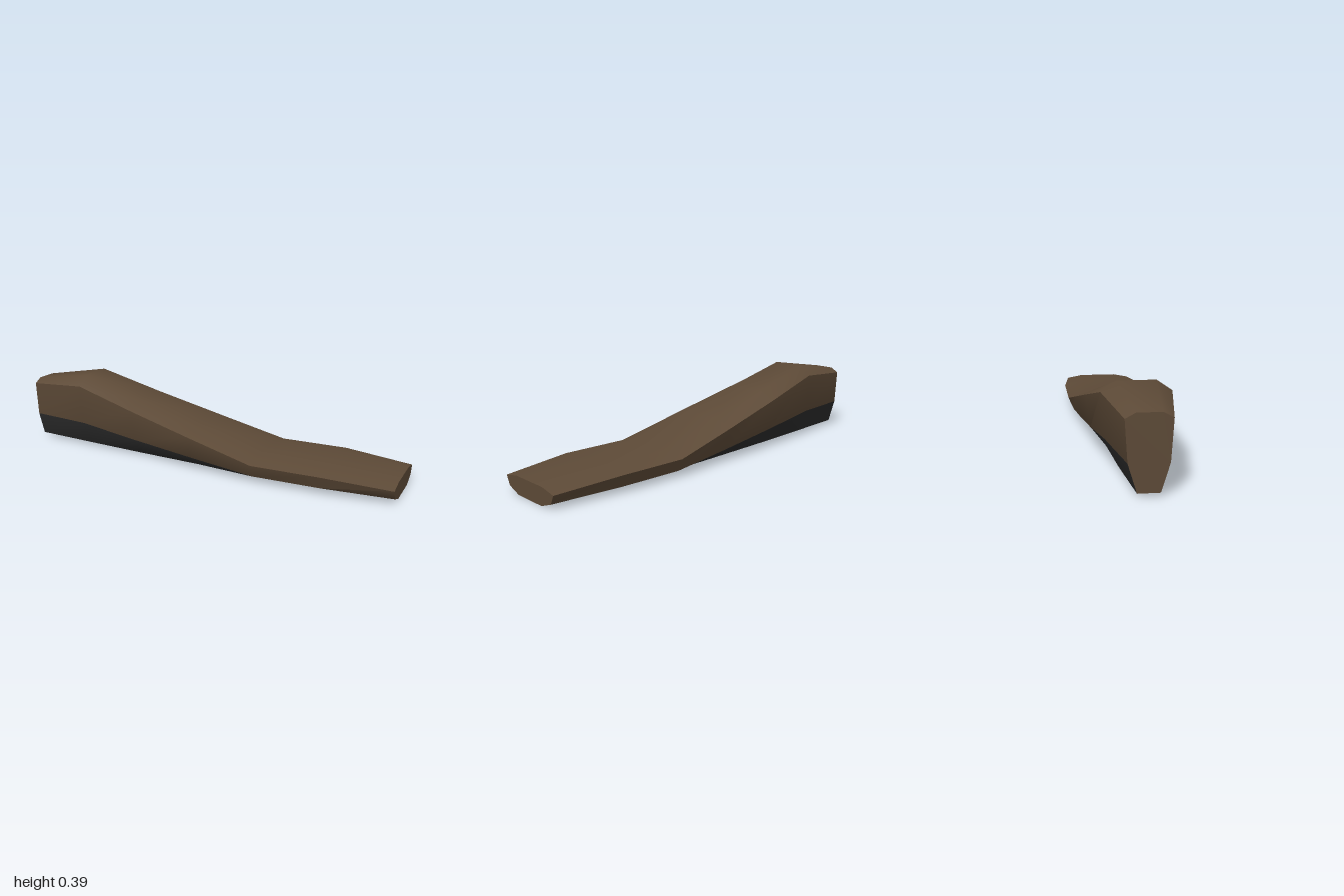
import * as THREE from 'three';
import { toCreasedNormals } from 'three/addons/utils/BufferGeometryUtils.js';

// Stations along the body: x, half width, and heights of bottom, belt line, shoulder, top
const STATIONS = [
  [-1.0, 0.095, 0.016, 0.137, 0.312, 0.335],
  [-0.667, 0.152, 0.015, 0.14, 0.343, 0.39],
  [-0.333, 0.186, 0.01, 0.103, 0.259, 0.298],
  [0, 0.208, 0.005, 0.066, 0.175, 0.207],
  [0.333, 0.225, 0, 0.03, 0.092, 0.115],
  [0.667, 0.225, 0, 0.03, 0.092, 0.115],
  [1.0, 0.188, 0, 0.026, 0.07, 0.086],
];

// Eight-sided cross-section, from the +z belt line over the top and round underneath
function section([x, w, bottom, belt, shoulder, top]) {
  const half = [[belt, 0.88], [shoulder, 1], [top, 0.55]];
  const ring = [
    ...half.map(([y, s]) => [x, y, w * s]),
    ...half.slice().reverse().map(([y, s]) => [x, y, -w * s]),
  ];
  ring.push([x, bottom, -w * 0.49], [x, bottom, w * 0.49]);
  return ring;
}

export function createModel() {
  const wood = new THREE.MeshStandardMaterial({ name: 'brown', color: 0x5d4a37 });
  const dark = new THREE.MeshStandardMaterial({ name: 'charcoal', color: 0x2b2b2b });

  const rings = STATIONS.map(section);
  const positions = [];
  const tri = (...pts) => pts.forEach((p) => positions.push(...p));
  const skin = (strips) => {
    for (let i = 0; i < rings.length - 1; i++) {
      for (const k of strips) {
        const n = (k + 1) % 8;
        const [a, b, c, d] = [rings[i][k], rings[i + 1][k], rings[i + 1][n], rings[i][n]];
        tri(a, b, c);
        tri(a, c, d);
      }
    }
  };

  // Upper shell and both end caps
  skin([0, 1, 2, 3, 4]);
  const back = rings[0];
  const tip = rings[rings.length - 1];
  for (let k = 1; k < 7; k++) {
    tri(back[0], back[k], back[k + 1]);
    tri(tip[0], tip[k + 1], tip[k]);
  }
  const upperCount = positions.length / 3;

  // Underside below the belt line
  skin([5, 6, 7]);
  const total = positions.length / 3;

  const raw = new THREE.BufferGeometry();
  raw.setAttribute('position', new THREE.Float32BufferAttribute(positions, 3));
  const geometry = toCreasedNormals(raw, THREE.MathUtils.degToRad(45));
  geometry.clearGroups();
  geometry.addGroup(0, upperCount, 0);
  geometry.addGroup(upperCount, total - upperCount, 1);

  const body = new THREE.Mesh(geometry, [wood, dark]);
  body.name = 'taperedBody';

  const group = new THREE.Group();
  group.name = 'taperedHandle';
  group.add(body);
  return group;
}
